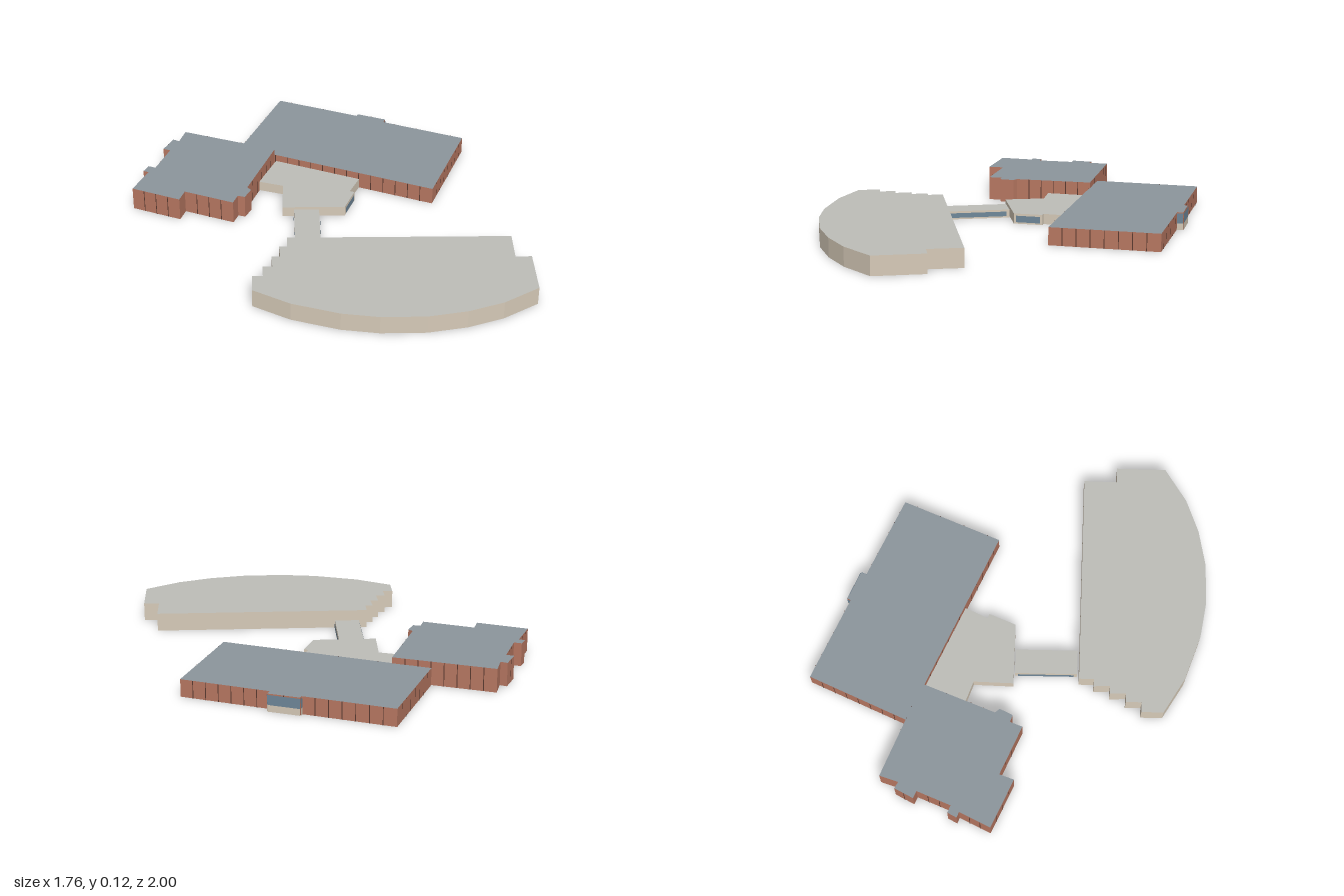
import * as THREE from 'three';
import { mergeGeometries } from 'three/addons/utils/BufferGeometryUtils.js';

const mat = (color) => new THREE.MeshStandardMaterial({ color, side: THREE.DoubleSide });

// Upright panel on the edge a-b of a plan outline, pushed outwards by off;
// t0..t1 is the stretch of the edge it covers.
function panel(a, b, y0, y1, off = 0, t0 = 0, t1 = 1) {
  const dx = a[0] - b[0], dz = a[1] - b[1], len = Math.hypot(dx, dz);
  const t = (t0 + t1) / 2;
  const g = new THREE.PlaneGeometry(len * (t1 - t0), y1 - y0);
  g.translate(0, (y0 + y1) / 2, off);
  g.rotateY(Math.atan2(-dz, dx));
  g.translate(a[0] - dx * t, 0, a[1] - dz * t);
  return g;
}

const edges = (plan) => plan.map((p, i) => [p, plan[(i + 1) % plan.length]]);

// Plan outlines as [x, z], clockwise seen from above
const hallPlan = [
  [-0.02, -1], [0.35, -0.765], [0.36, -0.78], [0.49, -0.7], [0.475, -0.675],
  [0.84, -0.44], [0.57, 0], [-0.3, -0.565],
];
const wingPlan = [
  [-0.565, -0.72], [-0.14, -0.465], [-0.33, -0.14], [-0.315, -0.115], [-0.355, -0.058],
  [-0.387, -0.075], [-0.418, -0.02], [-0.635, -0.16], [-0.67, -0.095], [-0.883, -0.235],
  [-0.79, -0.37], [-0.815, -0.385], [-0.785, -0.425], [-0.753, -0.405], [-0.663, -0.555],
  [-0.695, -0.575], [-0.635, -0.657], [-0.608, -0.635],
];
const foyerPlan = [
  [-0.135, -0.457], [0.245, -0.21], [0.178, -0.11], [0.198, -0.098], [0.125, 0.022],
  [-0.175, -0.03], [-0.14, -0.22], [-0.25, -0.28],
];
const linkPlan = [[-0.12, -0.015], [0, 0.005], [-0.048, 0.305], [-0.167, 0.283]];
const crescentPlan = [
  [-0.208, 0.285], [0.832, 0.47], [0.803, 0.632], [0.878, 0.645], [0.838, 0.885],
  [0.655, 0.96], [0.48, 0.992], [0.295, 0.995], [0.09, 0.96], [-0.075, 0.903],
  [-0.28, 0.79], [-0.432, 0.66], [-0.415, 0.555], [-0.367, 0.565], [-0.356, 0.49],
  [-0.312, 0.498], [-0.303, 0.42], [-0.264, 0.428], [-0.256, 0.35], [-0.22, 0.357],
];

export function createModel() {
  const model = new THREE.Group();
  const brick = mat(0xb87862), joint = mat(0x5a3a30), slate = mat(0x8c959c);
  const stone = mat(0xd6cab8), concrete = mat(0xbdbdb8), glass = mat(0x6f8799);

  const add = (parent, name, geos, material) => {
    const mesh = new THREE.Mesh(mergeGeometries(geos), material);
    mesh.name = name;
    parent.add(mesh);
  };

  // Open-bottomed shell: walls round the outline and a flat roof
  const building = (name, plan, height, wallMat, roofMat) => {
    const group = new THREE.Group();
    group.name = name;
    add(group, name + 'Walls', edges(plan).map(([a, b]) => panel(a, b, 0, height)), wallMat);
    const shape = new THREE.Shape(plan.map(([x, z]) => new THREE.Vector2(x, -z)));
    const roof = new THREE.ShapeGeometry(shape).rotateX(-Math.PI / 2).translate(0, height, 0);
    add(group, name + 'Roof', [roof], roofMat);
    model.add(group);
    return group;
  };

  // Narrow dark joints dividing the brickwork into bays
  const joints = (group, plan, height) => {
    const geos = [];
    for (const [a, b] of edges(plan)) {
      const len = Math.hypot(b[0] - a[0], b[1] - a[1]);
      const n = Math.round(len / 0.065), w = 0.002 / len;
      for (let i = 1; i < n; i++) geos.push(panel(a, b, 0, height, 0.0015, i / n - w, i / n + w));
    }
    add(group, 'brickJoints', geos, joint);
  };

  const hall = building('mainHall', hallPlan, 0.085, brick, slate);
  joints(hall, hallPlan, 0.085);
  const wing = building('brickWing', wingPlan, 0.115, brick, slate);
  joints(wing, wingPlan, 0.115);

  // Glazed bay at the back of the main hall
  const bay = edges(hallPlan).slice(1, 4);
  add(hall, 'bayBase', bay.map(([a, b]) => panel(a, b, 0, 0.032, 0.003)), stone);
  add(hall, 'bayWindow', bay.map(([a, b]) => panel(a, b, 0.032, 0.08, 0.003)), glass);

  // Low foyer with a window beside the entrance
  const foyer = building('foyer', foyerPlan, 0.05, stone, concrete);
  add(foyer, 'foyerWindow', [panel(foyerPlan[3], foyerPlan[4], 0.008, 0.04, 0.003, 0.08, 0.92)], glass);

  // Covered link with long windows on both sides
  const link = building('link', linkPlan, 0.04, stone, concrete);
  add(link, 'linkWindows', [1, 3].map((i) =>
    panel(linkPlan[i], linkPlan[(i + 1) % 4], 0.008, 0.031, 0.003, 0.05, 0.95)), glass);

  building('crescentBlock', crescentPlan, 0.09, stone, concrete);
  return model;
}
